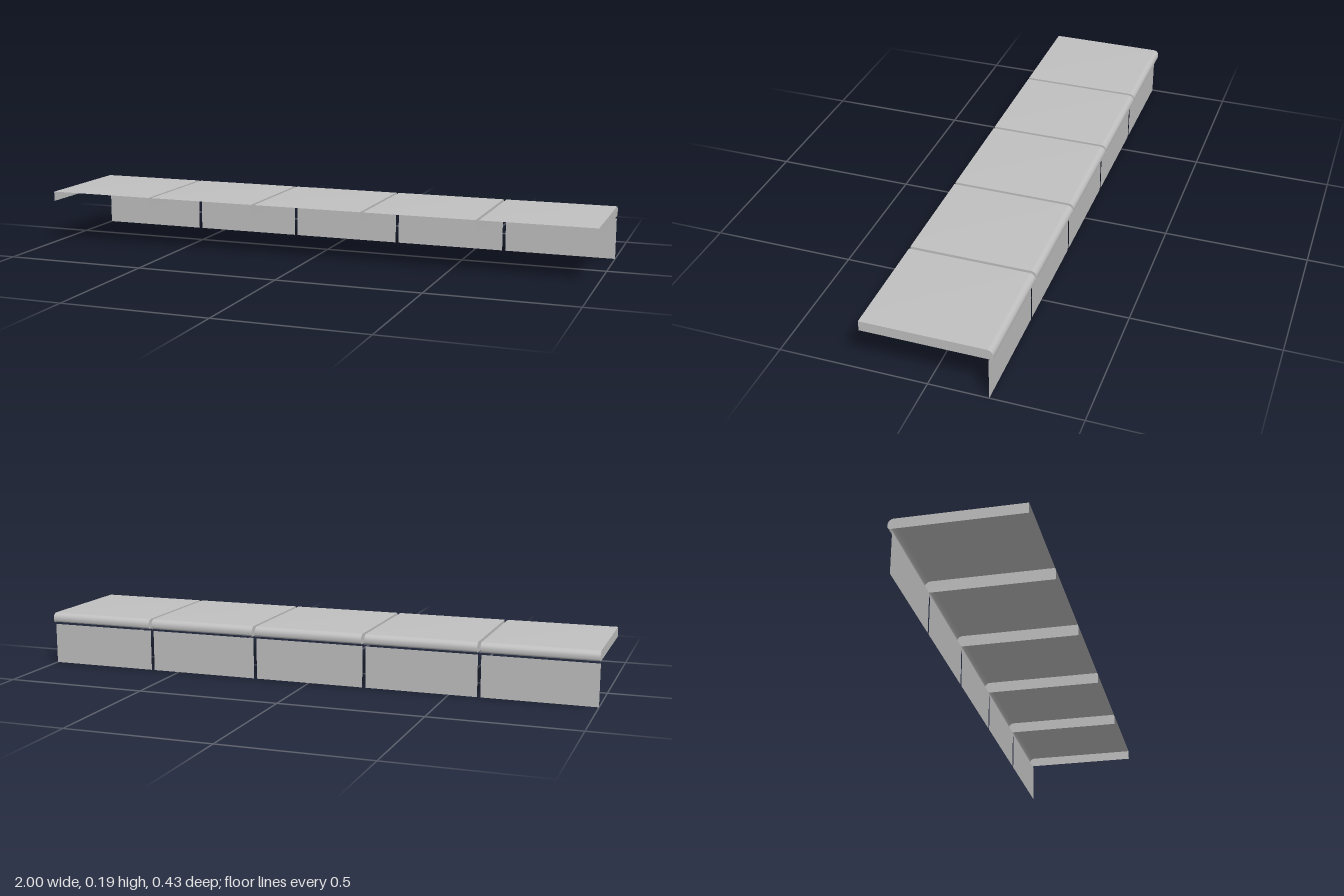
import * as THREE from 'three';

const COUNT = 5, PITCH = 0.4, WIDTH = 0.391;
const FRONT = 0.217, BACK = -0.216, TOP = 0.188, UNDER = 0.153;

export function createModel() {
  const group = new THREE.Group();
  const grey = new THREE.MeshStandardMaterial({ color: 0xc0c0c0, side: THREE.DoubleSide });
  grey.name = 'concrete grey';

  // Side profile of a tread, from the front edge to the rounded nosing lip
  const profile = [];
  for (let i = 0; i <= 12; i++) profile.push([FRONT + (-0.196 - FRONT) * i / 12, TOP]);
  const r = 0.02;
  for (let i = 1; i <= 8; i++) {
    const a = (i / 8) * Math.PI / 2;
    profile.push([BACK + r - r * Math.sin(a), TOP - r + r * Math.cos(a)]);
  }
  profile.push([BACK, 0.161], [BACK + 0.002, 0.157], [BACK + 0.006, 0.155]);

  // Open curved sheet swept across the width, with a very slight crown
  function treadGeometry() {
    const cols = 8, pos = [], index = [];
    for (let i = 0; i <= cols; i++) {
      const u = i / cols;
      for (const [z, y] of profile) {
        const t = (FRONT - z) / (FRONT - BACK);
        const crown = 0.002 * Math.sin(Math.PI * u) * Math.sin(Math.PI * t);
        pos.push((u - 0.5) * WIDTH, y + crown, z);
      }
    }
    const n = profile.length;
    for (let i = 0; i < cols; i++) {
      for (let j = 0; j < n - 1; j++) {
        const a = i * n + j, b = a + n;
        index.push(a, b, a + 1, b, b + 1, a + 1);
      }
    }
    const g = new THREE.BufferGeometry();
    g.setAttribute('position', new THREE.Float32BufferAttribute(pos, 3));
    g.setIndex(index);
    g.computeVertexNormals();
    return g;
  }

  // Thin end wall that follows the tread profile
  const wallShape = new THREE.Shape();
  wallShape.moveTo(-FRONT, UNDER);
  for (const [z, y] of profile) wallShape.lineTo(-z, y);
  wallShape.lineTo(-BACK - 0.006, UNDER);
  const wallGeo = new THREE.ShapeGeometry(wallShape);
  wallGeo.rotateY(Math.PI / 2); // shape x runs towards -z

  const treadGeo = treadGeometry();
  const riserGeo = new THREE.PlaneGeometry(WIDTH, 0.145);
  riserGeo.rotateY(Math.PI);

  const add = (parent, geo, name, x, y, z) => {
    const m = new THREE.Mesh(geo, grey);
    m.name = name;
    m.position.set(x, y, z);
    parent.add(m);
  };

  // Five identical sections side by side
  for (let i = 0; i < COUNT; i++) {
    const section = new THREE.Group();
    section.name = `stepSection${i + 1}`;
    section.position.x = (i - (COUNT - 1) / 2) * PITCH * (2 - WIDTH) / (4 * PITCH);
    add(section, treadGeo, 'tread', 0, 0, 0);
    for (const s of [-1, 1]) add(section, wallGeo, 'endWall', s * WIDTH / 2, 0, 0);
    add(section, riserGeo, 'riser', 0, 0.0725, -0.2);
    group.add(section);
  }
  return group;
}
